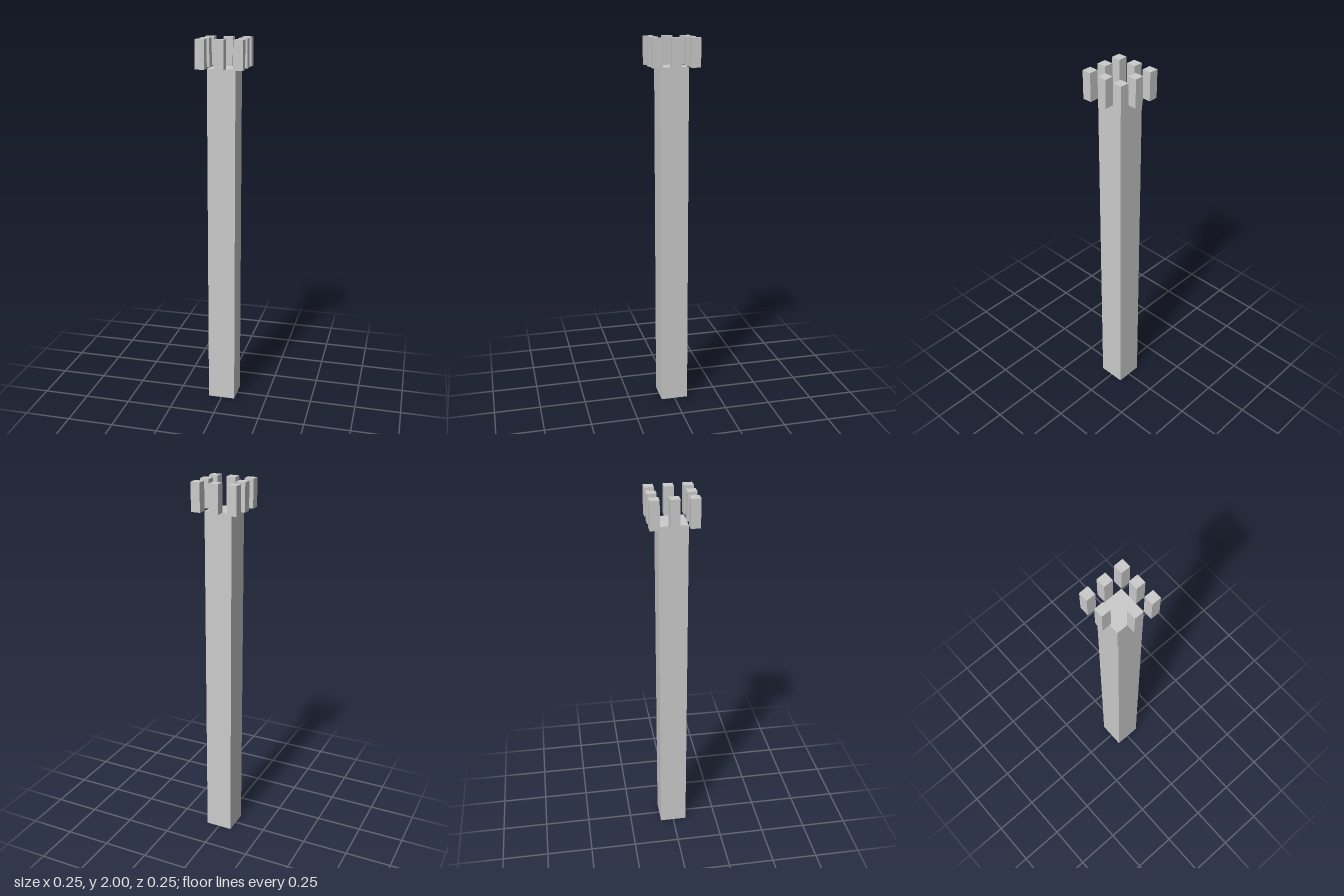
import * as THREE from 'three';

const WIDTH = 2 / 13.5;        // column width, also the height of a block
const HEIGHT = 2 - WIDTH;      // column height
const BLOCK = WIDTH / 3;       // block width

export function createModel() {
  const model = new THREE.Group();
  model.name = 'tower';
  const material = new THREE.MeshStandardMaterial({ color: 0xcccccc, flatShading: true });

  // Square column
  const column = new THREE.Mesh(new THREE.BoxGeometry(WIDTH, HEIGHT, WIDTH), material);
  column.name = 'column';
  column.position.y = HEIGHT / 2;
  model.add(column);

  // Ring of eight blocks around the top, with an empty middle
  const battlements = new THREE.Group();
  battlements.name = 'battlements';
  const blockGeometry = new THREE.BoxGeometry(BLOCK, WIDTH, BLOCK);
  for (const i of [-1, 0, 1]) {
    for (const k of [-1, 0, 1]) {
      if (i === 0 && k === 0) continue;
      const block = new THREE.Mesh(blockGeometry, material);
      block.name = 'battlementBlock';
      block.position.set(i * BLOCK * 2, HEIGHT + WIDTH / 2, k * BLOCK * 2);
      battlements.add(block);
    }
  }
  model.add(battlements);
  return model;
}
